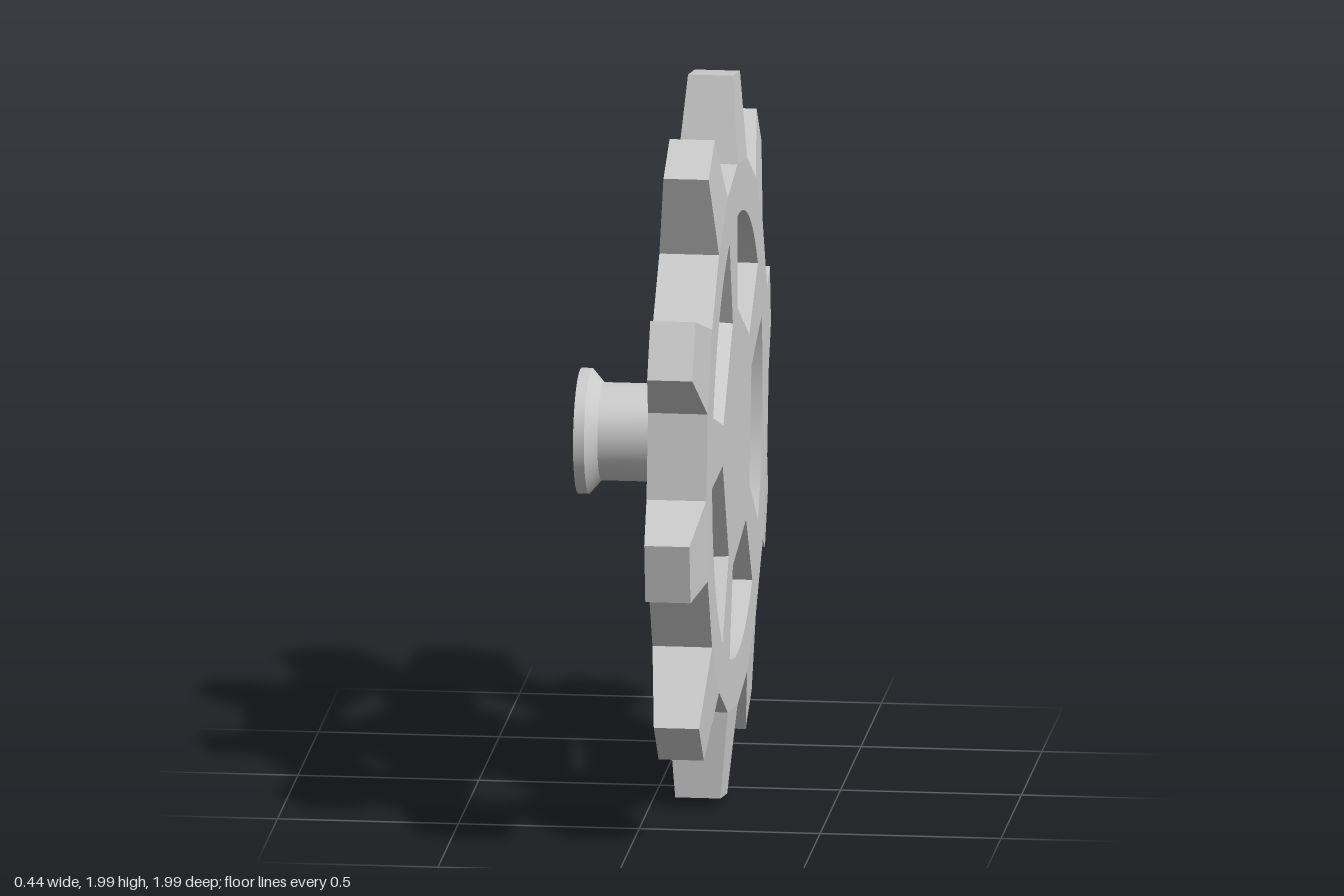
import * as THREE from 'three';
import { toCreasedNormals } from 'three/addons/utils/BufferGeometryUtils.js';

const TEETH = 10, HOLES = 5;
const ROOT_R = 0.765, TIP_R = 1.0;
const BACK = 0.05, DEPTH = 0.165;
const rad = THREE.MathUtils.degToRad;
const polar = (r, deg) => new THREE.Vector2(r * Math.cos(rad(deg)), r * Math.sin(rad(deg)));

// Twenty-sided plate with five windows; the inner window walls lean outward to the back
function plateGeometry() {
  const outline = [];
  for (let i = 0; i < TEETH * 2; i++) outline.push(polar(ROOT_R, i * 18));
  const shape = new THREE.Shape(outline);
  for (let k = 0; k < HOLES; k++) {
    const start = 36 + k * 72;
    const pts = [polar(0.36, start)];
    for (let i = 0; i <= 18; i++) pts.push(polar(0.618, start + i * 3));
    pts.push(polar(0.36, start + 54));
    shape.holes.push(new THREE.Path(pts));
  }
  const geo = new THREE.ExtrudeGeometry(shape, { depth: DEPTH, bevelEnabled: false });
  const p = geo.attributes.position;
  for (let i = 0; i < p.count; i++) {
    const x = p.getX(i), y = p.getY(i);
    if (Math.hypot(x, y) < 0.4 && p.getZ(i) < 0.01) p.setXY(i, x * 1.035, y * 1.035);
  }
  return toCreasedNormals(geo, 0.25);
}

// Box narrowed in width and thickness toward its tip, lying along +x
function toothGeometry() {
  const root = polar(ROOT_R, 9), tip = polar(TIP_R, 4.8);
  const geo = new THREE.BoxGeometry(2, 2, 2).toNonIndexed();
  const p = geo.attributes.position;
  for (let i = 0; i < p.count; i++) {
    const end = p.getX(i) > 0 ? tip : root;
    const half = p.getX(i) > 0 ? 0.0625 : DEPTH / 2;
    p.setXYZ(i, end.x, p.getY(i) * end.y, DEPTH / 2 + p.getZ(i) * half);
  }
  geo.computeVertexNormals();
  return geo;
}

// Open flanged sleeve around the axle
function hubGeometry() {
  const profile = [[0.173, -0.22], [0.173, -0.19], [0.135, -0.157], [0.135, BACK]]
    .map(([r, h]) => new THREE.Vector2(r, h));
  const geo = new THREE.LatheGeometry(profile, 48);
  geo.rotateZ(-Math.PI / 2);
  return toCreasedNormals(geo, 0.4);
}

export function createModel() {
  const grey = new THREE.MeshStandardMaterial({ color: 0xcccccc });
  const thin = new THREE.MeshStandardMaterial({ color: 0xcccccc, side: THREE.DoubleSide });
  const model = new THREE.Group();
  model.name = 'gearWheel';

  // Wheel drawn in the xy plane, then turned to face +x
  const wheel = new THREE.Group();
  wheel.name = 'wheel';
  wheel.rotation.y = Math.PI / 2;
  wheel.position.set(BACK, 1.003, 0);
  model.add(wheel);

  const plate = new THREE.Mesh(plateGeometry(), grey);
  plate.name = 'plate';
  wheel.add(plate);

  const toothGeo = toothGeometry();
  for (let i = 0; i < TEETH; i++) {
    const tooth = new THREE.Mesh(toothGeo, grey);
    tooth.name = 'tooth' + (i + 1);
    tooth.rotation.z = rad(9 + i * 36);
    wheel.add(tooth);
  }

  const hub = new THREE.Mesh(hubGeometry(), thin);
  hub.name = 'hub';
  hub.position.y = 1.003;
  model.add(hub);
  return model;
}
